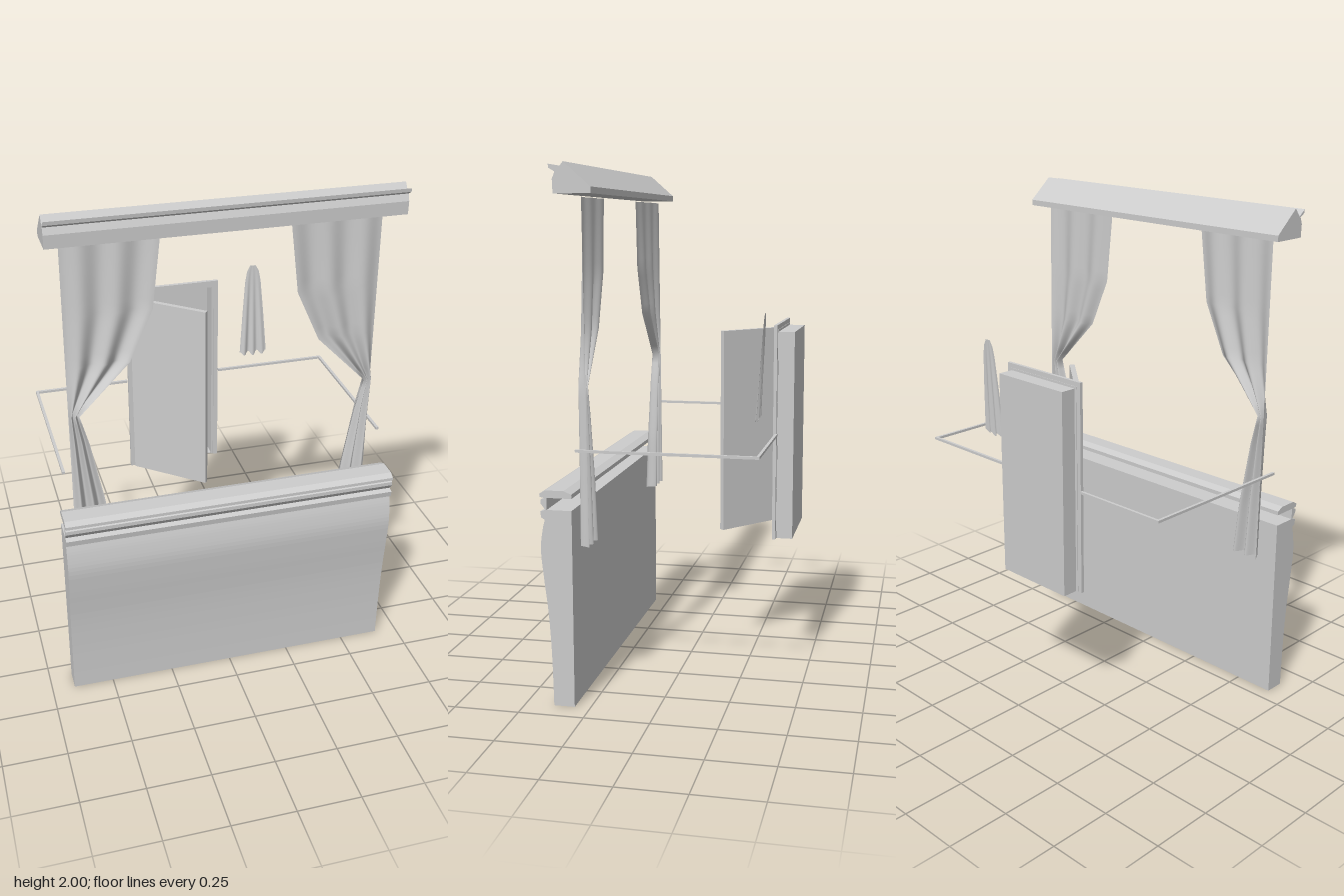
import * as THREE from 'three';

export function createModel() {
  const root = new THREE.Group();
  const grey = new THREE.MeshStandardMaterial({ color: 0xcccccc });
  grey.name = 'light grey';
  grey.side = THREE.DoubleSide;

  const add = (name, geometry, parent = root) => {
    const mesh = new THREE.Mesh(geometry, grey);
    mesh.name = name;
    parent.add(mesh);
    return mesh;
  };
  // Box given by its lower and upper corners
  const box = (name, x0, x1, y0, y1, z0, z1, parent) =>
    add(name, new THREE.BoxGeometry(x1 - x0, y1 - y0, z1 - z0)
      .translate((x0 + x1) / 2, (y0 + y1) / 2, (z0 + z1) / 2), parent);
  // Moulding: a (z, y) profile swept across the full width
  const W = 0.66;
  const sweep = (name, shape) =>
    add(name, new THREE.ExtrudeGeometry(shape, { depth: 2 * W, bevelEnabled: false, curveSegments: 4 })
      .rotateY(-Math.PI / 2).translate(W, 0, 0));
  const v = (x, y) => new THREE.Vector2(x, y);
  // Piecewise linear lookup in [key, value] pairs with falling keys
  const lookup = (table, y) => {
    let i = 0;
    while (i < table.length - 2 && y < table[i + 1][0]) i++;
    const [a, p] = table[i], [b, q] = table[i + 1];
    return p + (q - p) * (a - y) / (a - b);
  };

  // Counter wall: bulging front, moulded edge and a sill open at the back
  const wall = new THREE.Shape();
  wall.moveTo(0.31, 0);
  wall.lineTo(0.39, 0);
  wall.splineThru([v(0.395, 0.2), v(0.405, 0.36), v(0.421, 0.5), v(0.43, 0.6), v(0.423, 0.67), v(0.413, 0.715)]);
  [[0.426, 0.722], [0.43, 0.745], [0.41, 0.752], [0.428, 0.775], [0.428, 0.79], [0.412, 0.796],
    [0.432, 0.8], [0.432, 0.812], [0.41, 0.825], [0.34, 0.825], [0.31, 0.813], [0.31, 0.797],
    [0.405, 0.797], [0.405, 0.752], [0.31, 0.752]].forEach(([z, y]) => wall.lineTo(z, y));
  sweep('counterWall', wall);

  // Lintel with a sloping back and a lip along its front
  sweep('lintel', new THREE.Shape([
    v(0.222, 1.89), v(0.36, 1.89), v(0.362, 1.94), v(0.352, 1.965), v(0.374, 1.978),
    v(0.376, 1.992), v(0.346, 1.968), v(0.321, 2), v(0.222, 1.913)]));

  // Gathered curtains, tied back near the outer edge
  const innerEdge = [[1.88, 0.242], [1.6, 0.275], [1.4, 0.365], [1.2, 0.562], [1.08, 0.53], [0.82, 0.48], [0.6, 0.455]];
  for (const side of [1, -1]) {
    const g = new THREE.PlaneGeometry(1, 1, 36, 32);
    const p = g.attributes.position;
    for (let i = 0; i < p.count; i++) {
      const u = p.getX(i) + 0.5, t = 0.5 - p.getY(i);
      const y = 1.88 - 1.28 * t;
      const x = THREE.MathUtils.lerp(lookup(innerEdge, y), 0.6, u);
      const fold = (0.008 + 0.013 * t) * Math.cos(u * Math.PI * 5);
      p.setXYZ(i, side * x, y, 0.283 + fold);
    }
    if (side < 0) g.setIndex(Array.from(g.index.array).reverse());
    g.computeVertexNormals();
    add(side > 0 ? 'leftCurtain' : 'rightCurtain', g);
  }

  // Thin rail running round the room behind the counter
  const rail = new THREE.Group();
  rail.name = 'rail';
  root.add(rail);
  box('railLeft', 0.63, 0.641, 0.966, 0.976, -0.376, 0.3, rail);
  box('railRight', -0.641, -0.63, 0.966, 0.976, -0.376, 0.3, rail);
  box('railBackLeft', 0.163, 0.641, 0.966, 0.976, -0.376, -0.365, rail);
  box('railBackRight', -0.641, -0.245, 0.966, 0.976, -0.376, -0.365, rail);

  // Doorway: frame, recess behind it, and the half open leaf
  const doorway = new THREE.Group();
  doorway.name = 'doorway';
  root.add(doorway);
  box('frameRight', -0.243, -0.225, 0.55, 1.4, -0.371, -0.358, doorway);
  box('frameLeft', 0.138, 0.157, 0.55, 1.4, -0.371, -0.358, doorway);
  box('frameTop', -0.225, 0.138, 1.382, 1.4, -0.371, -0.358, doorway);
  box('innerFrameRight', -0.225, -0.215, 0.55, 1.382, -0.373, -0.364, doorway);
  box('innerFrameLeft', 0.13, 0.138, 0.55, 1.382, -0.373, -0.364, doorway);
  box('innerFrameTop', -0.215, 0.13, 1.37, 1.382, -0.373, -0.364, doorway);
  box('recessBack', -0.215, 0.133, 0.55, 1.373, -0.436, -0.433, doorway);
  box('recessRight', -0.215, -0.212, 0.55, 1.373, -0.433, -0.37, doorway);
  box('recessLeft', 0.13, 0.133, 0.55, 1.373, -0.433, -0.37, doorway);
  box('recessTop', -0.212, 0.13, 1.37, 1.373, -0.433, -0.37, doorway);
  box('recessFloor', -0.212, 0.13, 0.55, 0.553, -0.433, -0.37, doorway);
  const leaf = box('doorLeaf', 0, 0.345, 0.55, 1.365, -0.01, 0.01, doorway);
  leaf.position.set(-0.22, 0, -0.358);
  leaf.rotation.y = -Math.atan2(0.22, 0.262);

  // Hanging towel, gathered at the top and folded below
  const towelHalf = [[1.457, 0.012], [1.44, 0.024], [1.39, 0.034], [1.25, 0.046], [1.06, 0.06]];
  const cloth = new THREE.PlaneGeometry(1, 1, 24, 16);
  const c = cloth.attributes.position;
  for (let i = 0; i < c.count; i++) {
    const u = c.getX(i) * 2, t = 0.5 - c.getY(i);
    const y = 1.457 - 0.39 * t;
    const wave = Math.cos(u * Math.PI * 3);
    c.setXYZ(i, 0.306 + u * lookup(towelHalf, y), y - t * 0.01 * (1 + wave) * (1 - 0.5 * u * u),
      -0.345 + 0.02 * t + 0.008 * u * u * t + 0.006 * t * wave);
  }
  cloth.computeVertexNormals();
  add('towel', cloth);

  return root;
}
